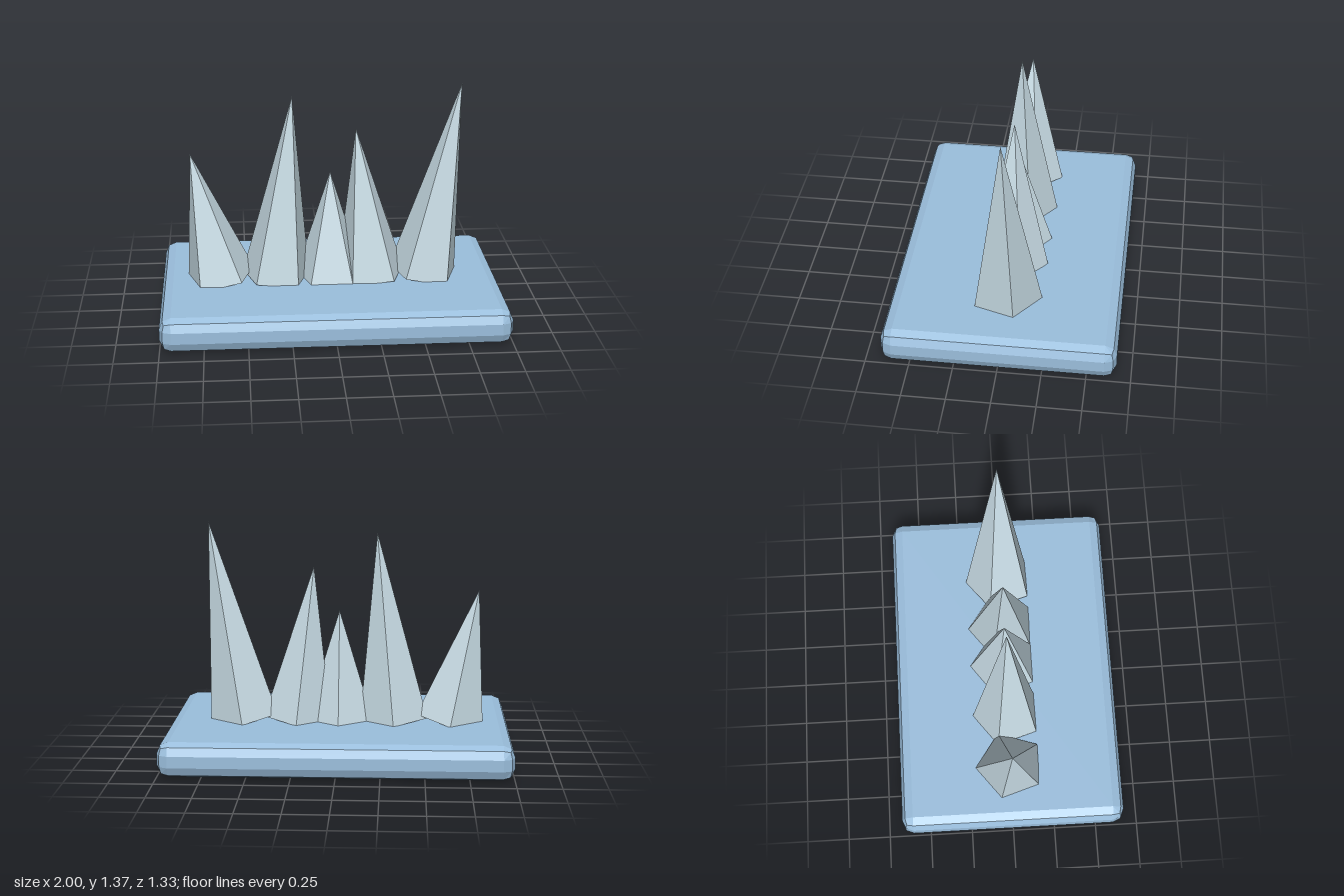
import * as THREE from 'three';
import { RoundedBoxGeometry } from 'three/addons/geometries/RoundedBoxGeometry.js';

const slabBlue = new THREE.MeshStandardMaterial({ color: 0x9bbfdd, flatShading: true });
slabBlue.name = 'slab blue';
const iceGrey = new THREE.MeshStandardMaterial({ color: 0xc6dae3, flatShading: true });
iceGrey.name = 'pale ice';

// A five-sided spike leaning sideways from its base centre to its tip
function makeSpike(baseX, tipX, tipY) {
  const baseY = 0.197;
  const dx = tipX - baseX;
  const dy = tipY - baseY;
  const length = Math.hypot(dx, dy);
  const geometry = new THREE.ConeGeometry(0.21, length, 5, 1, false, Math.PI);
  geometry.translate(0, length / 2, 0);
  const spike = new THREE.Mesh(geometry, iceGrey);
  spike.position.set(baseX, baseY, 0);
  spike.rotation.z = -Math.atan2(dx, dy);
  return spike;
}

export function createModel() {
  const model = new THREE.Group();
  model.name = 'iceSpikes';

  // Bevelled base slab
  const slab = new THREE.Mesh(new RoundedBoxGeometry(2, 0.2, 1.334, 1, 0.067), slabBlue);
  slab.name = 'baseSlab';
  slab.position.y = 0.1;
  model.add(slab);

  // Row of spikes: base x, tip x, tip height
  const spikes = [
    [-0.65, -0.815, 0.97],
    [-0.32, -0.22, 1.305],
    [0, 0, 0.845],
    [0.245, 0.15, 1.105],
    [0.56, 0.765, 1.365],
  ];
  spikes.forEach((s, i) => {
    const spike = makeSpike(...s);
    spike.name = `spike${i + 1}`;
    model.add(spike);
  });

  return model;
}
